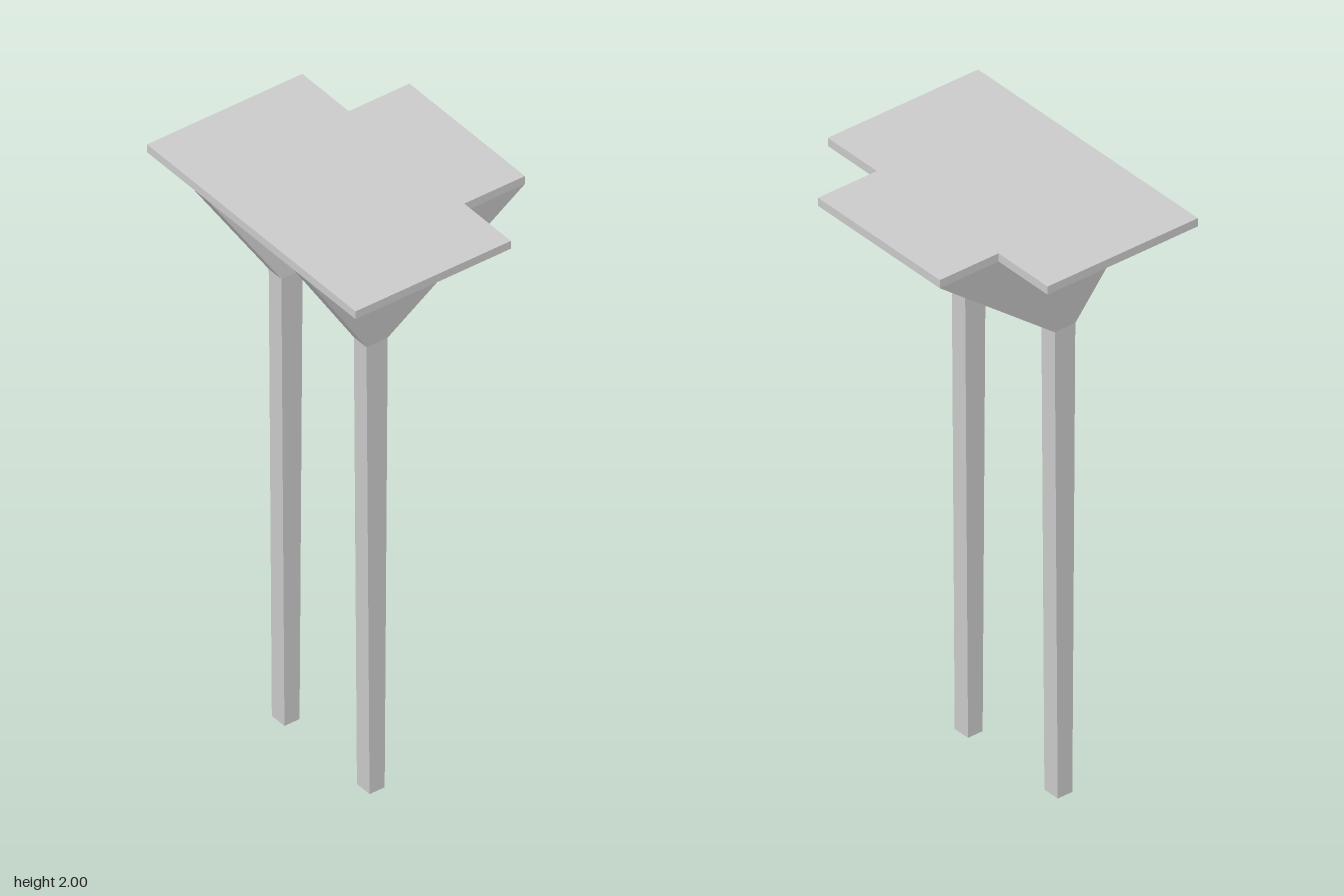
import * as THREE from 'three';

const material = new THREE.MeshStandardMaterial({ color: 0xcccccc, flatShading: true });

// Tapered block: a box whose bottom and top rectangles are set separately.
// Each end is { y, x: [min, max], z: [min, max] }.
function taperedBlock(bottom, top) {
  const geometry = new THREE.BoxGeometry(1, 1, 1);
  const p = geometry.attributes.position;
  for (let i = 0; i < p.count; i++) {
    const end = p.getY(i) > 0 ? top : bottom;
    p.setXYZ(i, end.x[p.getX(i) > 0 ? 1 : 0], end.y, end.z[p.getZ(i) > 0 ? 1 : 0]);
  }
  geometry.computeVertexNormals();
  return geometry;
}

function addMesh(parent, name, geometry) {
  const mesh = new THREE.Mesh(geometry, material);
  mesh.name = name;
  parent.add(mesh);
  return mesh;
}

export function createModel() {
  const model = new THREE.Group();
  model.name = 'platformOnPosts';

  // Stepped top plate, wide at the front and narrow at the back
  const halfOutline = [[0.495, -0.385], [0.495, 0.17], [0.274, 0.17], [0.274, 0.387]];
  const outline = [...halfOutline, ...halfOutline.map(([x, y]) => [-x, y]).reverse()];
  const shape = new THREE.Shape(outline.map(([x, y]) => new THREE.Vector2(x, y)));
  const plate = new THREE.ExtrudeGeometry(shape, { depth: 0.028, bevelEnabled: false });
  plate.rotateX(-Math.PI / 2).translate(0, 1.972, 0);
  addMesh(model, 'topPlate', plate);

  // Two posts, each spreading into a leaning bracket under the plate
  for (const [side, s] of [['left', 1], ['right', -1]]) {
    const span = (a, b) => (s > 0 ? [a, b] : [-b, -a]);
    const support = new THREE.Group();
    support.name = side + 'Support';
    const foot = { y: 0, x: span(0.172, 0.232), z: [0.083, 0.137] };
    const neck = { y: 1.605, x: span(0.172, 0.232), z: [0.072, 0.148] };
    const head = { y: 1.972, x: span(0.2, 0.274), z: [-0.387, 0.385] };
    addMesh(support, side + 'Post', taperedBlock(foot, neck));
    addMesh(support, side + 'Bracket', taperedBlock(neck, head));
    model.add(support);
  }
  return model;
}
